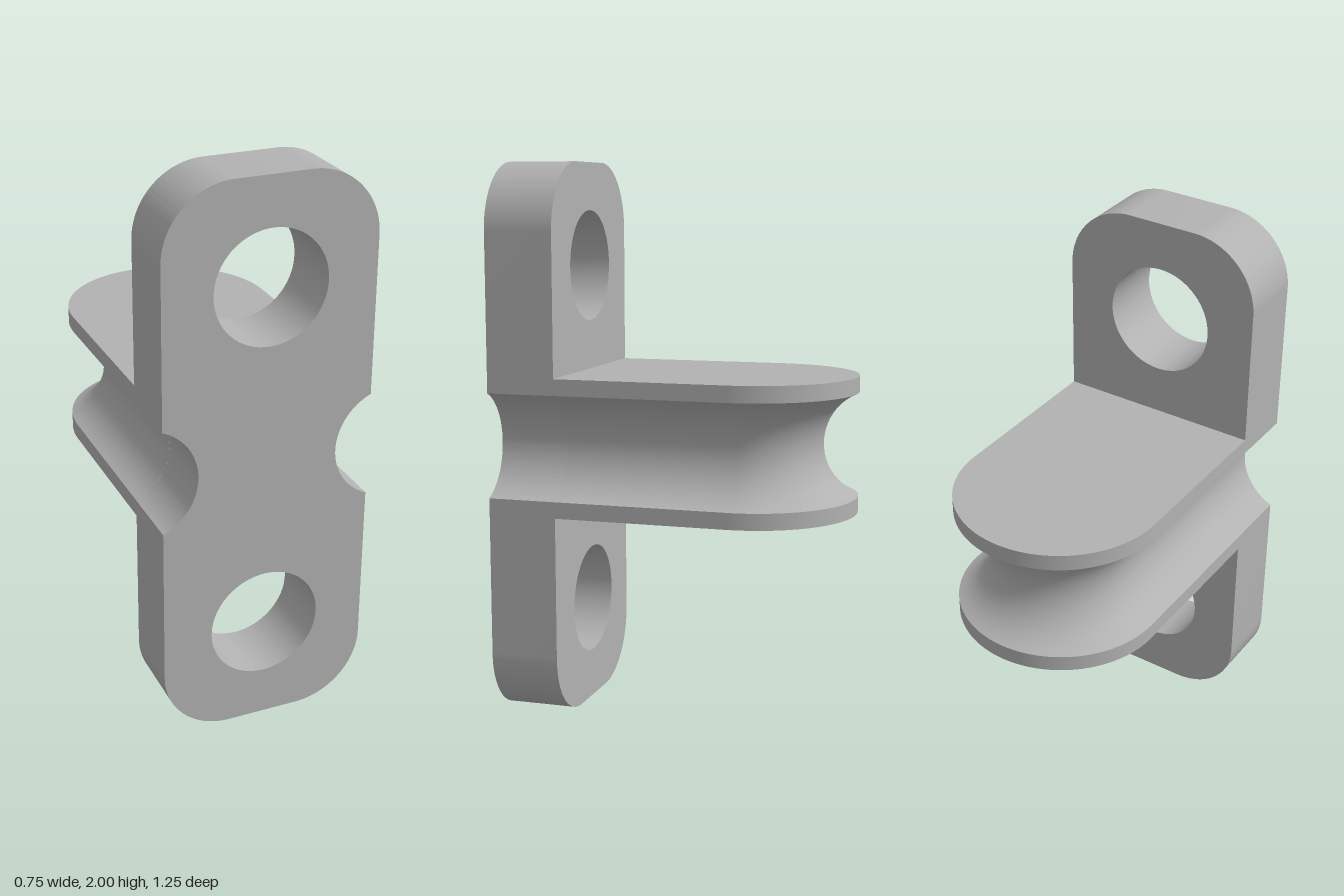
import * as THREE from 'three';
import { toCreasedNormals } from 'three/addons/utils/BufferGeometryUtils.js';

const W = 0.375;               // half width
const FRONT = 0.625, BACK = 0.375; // plate faces along z
const CY = 1.003;              // height of the groove's middle
const GH = 0.188, GD = 0.125;  // groove half height and depth
const GR = (GH * GH + GD * GD) / (2 * GD); // groove radius
const GX = W - GD + GR;        // groove centre from the middle
const GA = Math.asin(GH / GR); // groove half angle
const FLANGE = 0.247;          // half height of the arm

// Upright plate with rounded corners, side notches and two holes
function plateGeometry() {
  const r = 0.245, s = new THREE.Shape();
  s.moveTo(-W + r, 0);
  s.lineTo(W - r, 0);
  s.absarc(W - r, r, r, -Math.PI / 2, 0, false);
  s.absarc(GX, CY, GR, Math.PI + GA, Math.PI - GA, true);
  s.absarc(W - r, 2 - r, r, 0, Math.PI / 2, false);
  s.absarc(-W + r, 2 - r, r, Math.PI / 2, Math.PI, false);
  s.absarc(-GX, CY, GR, GA, -GA, true);
  s.absarc(-W + r, r, r, Math.PI, Math.PI * 1.5, false);
  for (const y of [CY - 0.625, CY + 0.625]) {
    const hole = new THREE.Path();
    hole.absarc(0, y, 0.2, 0, Math.PI * 2, true);
    s.holes.push(hole);
  }
  const g = new THREE.ExtrudeGeometry(s, { depth: FRONT - BACK, bevelEnabled: false, curveSegments: 32 });
  g.translate(0, 0, BACK);
  return toCreasedNormals(g, 0.5);
}

// Sweeps a profile of [distance from middle, height] around the U-shaped arm
function sweep(profile) {
  const N = 48, cols = N + 3, pos = [], idx = [];
  for (const [d, y] of profile) {
    pos.push(d, y, BACK);
    for (let i = 0; i <= N; i++) {
      const a = (Math.PI * i) / N;
      pos.push(d * Math.cos(a), y, -0.25 - d * Math.sin(a));
    }
    pos.push(-d, y, BACK);
  }
  for (let j = 0; j < profile.length - 1; j++) {
    for (let i = 0; i < cols - 1; i++) {
      const a = j * cols + i, b = a + cols;
      idx.push(a, b, a + 1, a + 1, b, b + 1);
    }
  }
  const g = new THREE.BufferGeometry();
  g.setAttribute('position', new THREE.Float32BufferAttribute(pos, 3));
  g.setIndex(idx);
  g.computeVertexNormals();
  return g;
}

export function createModel() {
  const group = new THREE.Group();
  group.name = 'groovedBracket';
  const grey = new THREE.MeshStandardMaterial({ color: 0xb2b2b2 });
  grey.name = 'grey';
  const add = (name, geometry, parent = group) => {
    const mesh = new THREE.Mesh(geometry, grey);
    mesh.name = name;
    parent.add(mesh);
  };

  add('mountingPlate', plateGeometry());

  // Arm: flat faces, thin rims and the concave groove between them
  const arm = new THREE.Group();
  arm.name = 'arm';
  group.add(arm);
  const top = CY + FLANGE, bottom = CY - FLANGE;
  const groove = [];
  for (let i = 0; i <= 24; i++) {
    const a = GA - (2 * GA * i) / 24;
    groove.push([GX - GR * Math.cos(a), CY + GR * Math.sin(a)]);
  }
  add('topFace', sweep([[0, top], [W, top]]), arm);
  add('upperRim', sweep([[W, top], [W, CY + GH]]), arm);
  add('groove', sweep(groove), arm);
  add('lowerRim', sweep([[W, CY - GH], [W, bottom]]), arm);
  add('bottomFace', sweep([[W, bottom], [0, bottom]]), arm);
  return group;
}
